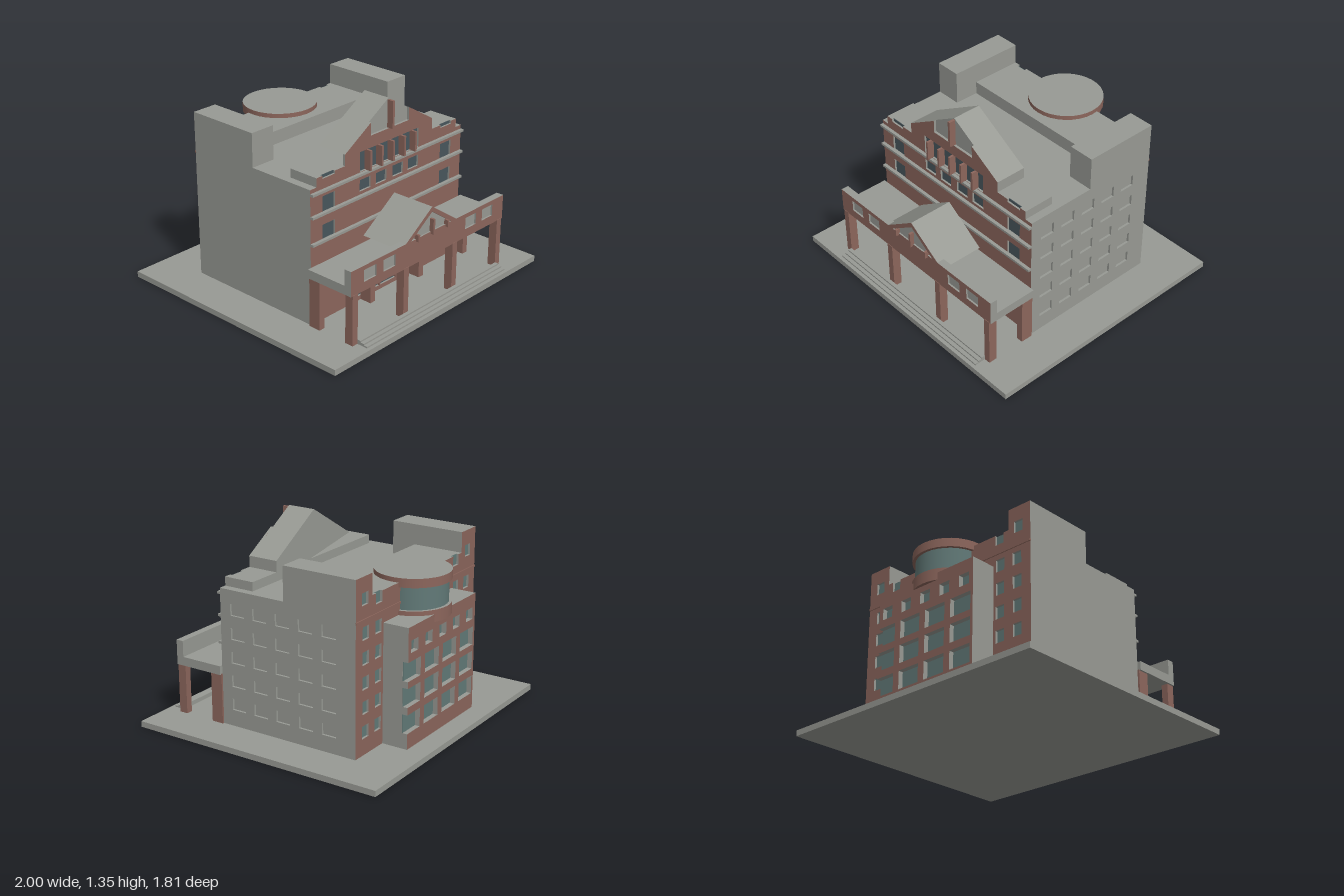
import * as THREE from 'three';

const material = (name, color) => {
  const m = new THREE.MeshStandardMaterial({ color });
  m.name = name;
  return m;
};

export function createModel() {
  const root = new THREE.Group();
  root.name = 'building';
  const stone = material('grey stone', 0x989a94);
  const brick = material('red brick', 0x8c665c);
  const darkGlass = material('dark glass', 0x48565c);
  const tealGlass = material('teal glass', 0x627a78);

  // Box given by its extents on each axis
  function box(name, mat, [x0, x1], [y0, y1], [z0, z1], parent = root) {
    const mesh = new THREE.Mesh(new THREE.BoxGeometry(x1 - x0, y1 - y0, z1 - z0), mat);
    mesh.position.set((x0 + x1) / 2, (y0 + y1) / 2, (z0 + z1) / 2);
    mesh.name = name;
    parent.add(mesh);
    return mesh;
  }

  const toPoints = (pts) => pts.map(([x, y]) => new THREE.Vector2(x, y));
  // Outline from its right half
  const mirrored = (half) => [...half, ...half.map(([x, y]) => [-x, y]).reverse()];
  // Window rectangle: centre x, width, bottom, top
  const win = (x, w, y0, y1) => [x - w / 2, x + w / 2, y0, y1];
  const pair = (x, w, y0, y1) => [win(x, w, y0, y1), win(-x, w, y0, y1)];

  function prism(name, outline, z0, z1, mats, holes = [], parent = root) {
    const shape = new THREE.Shape(toPoints(outline));
    for (const [a, b, c, d] of holes) {
      shape.holes.push(new THREE.Path(toPoints([[a, c], [a, d], [b, d], [b, c]])));
    }
    const geo = new THREE.ExtrudeGeometry(shape, { depth: z1 - z0, bevelEnabled: false });
    const mesh = new THREE.Mesh(geo, mats);
    mesh.position.z = z0;
    mesh.name = name;
    parent.add(mesh);
    return mesh;
  }

  // Wall skin with recessed windows, turned about y to face any side
  function wall(name, { outline, holes, panes = [], from, to, turn = 0, face, glass }) {
    const group = new THREE.Group();
    group.name = name;
    group.rotation.y = turn;
    prism(name + 'Skin', outline, from, to, [face, stone], holes, group);
    if (glass) {
      for (const [a, b, c, d] of [...holes, ...panes]) {
        box('windowPane', glass, [a, b], [c, d], [from - 0.003, from + 0.004], group);
      }
    }
    root.add(group);
  }

  // Ground slab, main core and roofs
  box('groundSlab', stone, [-1, 1], [0, 0.04], [-0.905, 0.905]);
  box('mainCore', stone, [-0.705, 0.705], [0.04, 0.96], [-0.56, 0.425]);
  box('raisedRoof', stone, [-0.54, 0.54], [0.96, 1.05], [-0.56, -0.22]);
  box('frontRoofStep', stone, [-0.665, 0.665], [0.96, 1.02], [0.225, 0.425]);
  prism('gableRoof', mirrored([[0.415, 0.96], [0.415, 1.095], [0, 1.345]]).slice(0, -1)
    .filter((p, i) => i !== 3), 0.225, 0.425, stone);
  for (const s of [-1, 1]) {
    const xs = [0.54 * s, 0.705 * s].sort((a, b) => a - b);
    box('cornerTower', stone, xs, [0.96, 1.19], [-0.56, -0.05]);
  }

  // Front facade
  const frontHoles = [
    ...pair(0.56, 0.11, 0.775, 0.885), ...pair(0.56, 0.11, 0.588, 0.695),
    ...pair(0.23, 0.1, 0.805, 0.882), ...pair(0.08, 0.1, 0.805, 0.882),
    win(0, 0.56, 0.937, 1.07), win(0, 0.67, 0.07, 0.38),
  ];
  wall('frontFacade', {
    outline: mirrored([[0.72, 0.04], [0.72, 0.96], [0.665, 0.96], [0.665, 1.02], [0.615, 1.02],
      [0.615, 1], [0.505, 1], [0.505, 1.02], [0.415, 1.02], [0.415, 1.095], [0.18, 1.237], [0.18, 1.15]]),
    holes: frontHoles, panes: pair(0.56, 0.11, 1, 1.019),
    from: 0.425, to: 0.442, face: brick, glass: darkGlass,
  });
  for (const y of [0.585, 0.768, 0.918]) {
    box('stoneBand', stone, [-0.72, 0.72], [y, y + 0.016], [0.44, 0.465]);
  }
  for (let i = -2; i <= 2; i++) {
    const x = i * 0.107;
    box('windowPier', brick, [x - 0.008, x + 0.008], [0.935, 1.07], [0.426, 0.478]);
  }
  box('gablePier', brick, [-0.009, 0.009], [1.15, 1.335], [0.42, 0.47]);
  for (const x of [-0.08, 0.08]) {
    box('doorMullion', brick, [x - 0.006, x + 0.006], [0.07, 0.38], [0.426, 0.445]);
  }

  // Side walls with blind windows
  for (const s of [-1, 1]) {
    const holes = [];
    for (let c = 0; c < 5; c++) {
      for (let r = 0; r < 5; r++) {
        holes.push(win(s * (-0.31 + c * 0.174), 0.107, 0.15 + r * 0.16, 0.228 + r * 0.16));
      }
    }
    const outline = [[-0.425, 0.04], [0.56, 0.04], [0.56, 1.19], [0.05, 1.19], [0.05, 0.96], [-0.425, 0.96]];
    wall('sideWall', {
      outline: outline.map(([u, y]) => [s * u, y]), holes,
      from: 0.705, to: 0.72, turn: s * Math.PI / 2, face: stone,
    });
  }

  // Back wall
  const backHoles = [...pair(0.62, 0.07, 1.01, 1.09)];
  for (let r = 0; r < 5; r++) {
    for (const x of [0.47, 0.61]) backHoles.push(...pair(x, 0.07, 0.15 + r * 0.16, 0.235 + r * 0.16));
  }
  wall('backWall', {
    outline: mirrored([[0.72, 0.04], [0.72, 1.19], [0.54, 1.19], [0.54, 1.05],
      [0.5, 1.05], [0.5, 0.98], [0.43, 0.98], [0.43, 1.05]]),
    holes: backHoles, panes: pair(0.465, 0.07, 0.98, 1.049),
    from: 0.56, to: 0.58, turn: Math.PI, face: brick, glass: tealGlass,
  });
  box('backBand', brick, [-0.72, 0.72], [0.91, 0.925], [-0.586, -0.575]);

  // Back bay; its end windows run through the corner
  box('bayCore', stone, [-0.415, 0.415], [0.04, 0.84], [-0.722, -0.57]);
  const bayOutline = [[0.415, 0.04], [0.415, 0.84], [-0.415, 0.84]];
  const bayHoles = [];
  const cornerPanes = [];
  for (const y of [0.49, 0.32, 0.145]) {
    const top = y + 0.125;
    bayOutline.push([-0.415, top], [-0.265, top], [-0.265, y], [-0.415, y]);
    cornerPanes.push([-0.414, -0.265, y, top]);
    for (const x of [-0.13, 0.09, 0.31]) bayHoles.push(win(x, 0.17, y, top));
  }
  bayOutline.push([-0.415, 0.04]);
  for (let i = -2; i <= 2; i++) bayHoles.push(win(i * 0.17, 0.085, 0.67, 0.75));
  wall('backBay', {
    outline: bayOutline, holes: bayHoles, panes: cornerPanes,
    from: 0.722, to: 0.76, turn: Math.PI, face: brick, glass: tealGlass,
  });

  // Round rooftop lantern
  function drum(name, r, y0, y1, mats) {
    const geo = new THREE.CylinderGeometry(r, r, y1 - y0, 32);
    const mesh = new THREE.Mesh(geo, mats);
    mesh.position.set(0, (y0 + y1) / 2, -0.535);
    mesh.name = name;
    root.add(mesh);
  }
  drum('lanternBase', 0.25, 0.79, 0.87, [brick, stone, brick]);
  drum('lanternGlass', 0.23, 0.87, 1.02, tealGlass);
  drum('lanternRoof', 0.25, 1.02, 1.08, [brick, stone, brick]);

  // Entrance portico
  box('porticoSlab', stone, [-0.745, 0.745], [0.38, 0.44], [0.442, 0.75]);
  box('porticoParapet', stone, [-0.745, 0.745], [0.38, 0.55], [0.745, 0.785]);
  prism('porticoFront', mirrored([[0.745, 0.38], [0.745, 0.55], [0.245, 0.55]]), 0.785, 0.797,
    [brick, stone], [...pair(0.575, 0.11, 0.44, 0.52), ...pair(0.4, 0.11, 0.44, 0.52)]);
  prism('porticoGable', [[-0.29, 0.52], [0.29, 0.52], [0, 0.72]], 0.485, 0.787, stone);
  for (const s of [-1, 1]) {
    prism('gableRake', [[s * 0.247, 0.55], [0, 0.72], [0, 0.685], [s * 0.197, 0.55]],
      0.785, 0.797, [brick, stone]);
  }
  for (const [x, top] of [[-0.145, 0.582], [0, 0.64], [0.145, 0.582]]) {
    box('gableMullion', brick, [x - 0.008, x + 0.008], [0.535, top], [0.785, 0.818]);
  }
  for (const x of [-0.71, -0.24, 0.24, 0.71]) {
    box('frontColumn', brick, [x - 0.023, x + 0.023], [0.04, 0.385], [0.74, 0.8]);
    box('rearColumn', brick, [x - 0.023, x + 0.023], [0.04, 0.385], [0.44, 0.525]);
  }

  // Entrance steps
  for (let i = 0; i < 3; i++) {
    box('entranceStep', stone, [-0.69, 0.69], [0.04, 0.05 + i * 0.01], [0.8, 0.88 - i * 0.027]);
  }
  return root;
}
